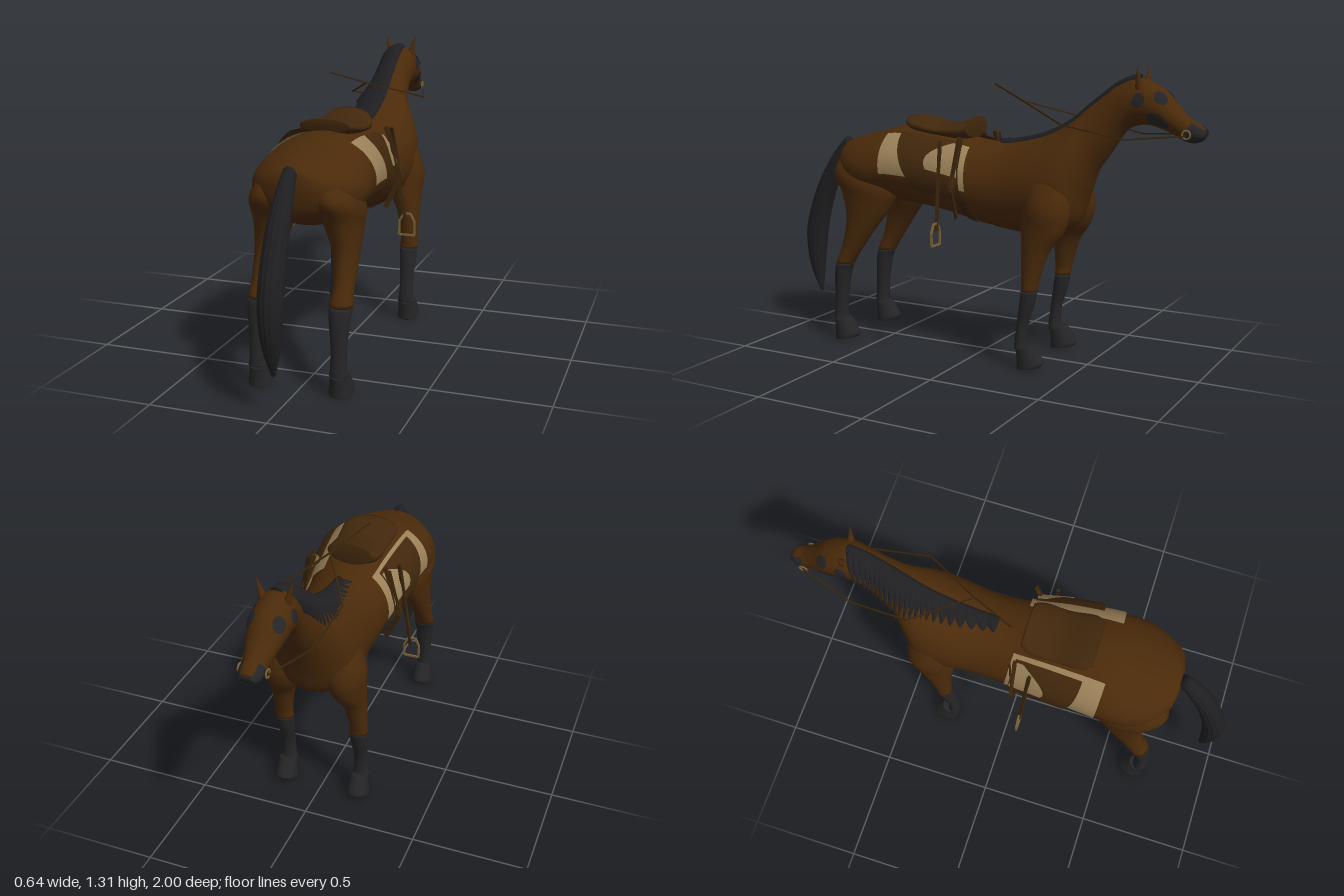
import * as THREE from 'three';
import { mergeVertices } from 'three/addons/utils/BufferGeometryUtils.js';

const mat = (name, color) => new THREE.MeshStandardMaterial({ name, color, side: THREE.DoubleSide });
const coat = mat('brown coat', 0x4a2a0a);
const hair = mat('black hair', 0x1f1f21);
const dark = mat('dark points', 0x252527);
const leather = mat('saddle leather', 0x41270c);
const strapMat = mat('strap leather', 0x38240b);
const blanketMat = mat('tan blanket', 0x9a8058);
const metal = mat('brass', 0x7a6238);

// Each ring: [z, y] of one edge, [z, y] of the opposite edge, half width, centre x
const BODY = [
  [.735, .88, .735, .84, .03], [.72, .92, .71, .74, .12], [.66, .945, .62, .68, .2], [.55, .975, .52, .665, .24],
  [.40, 1.01, .38, .66, .235], [.2, 1.0, .19, .635, .215], [.02, .965, -.02, .59, .19], [-.12, .958, -.2, .565, .183],
  [-.26, .986, -.34, .57, .195], [-.36, 1.026, -.44, .62, .185], [-.425, 1.066, -.485, .74, .15], [-.49, 1.122, -.53, .85, .105],
  [-.56, 1.177, -.58, .92, .085], [-.62, 1.222, -.62, .98, .076], [-.695, 1.252, -.66, 1.035, .077], [-.76, 1.241, -.715, 1.06, .08],
  [-.83, 1.20, -.775, 1.06, .078], [-.89, 1.135, -.85, 1.035, .06], [-.94, 1.09, -.90, 1.01, .048],
  [-.98, 1.068, -.95, 1.0, .045], [-1, 1.045, -.985, 1.01, .03]];
const HIND = [
  [.46, .87, .66, .90, .05, .12], [.385, .74, .722, .80, .097, .134], [.42, .64, .67, .70, .076, .15], [.5, .53, .64, .58, .052, .168],
  [.57, .43, .66, .46, .043, .175], [.61, .37, .695, .37, .048, .175], [.63, .32, .705, .31, .044, .175],
  [.645, .22, .71, .2, .034, .175], [.65, .13, .715, .12, .034, .175], [.645, .09, .715, .09, .04, .175]];
const FORE = [
  [-.40, .90, -.30, .92, .03, .12], [-.46, .72, -.26, .74, .088, .135], [-.445, .61, -.25, .62, .075, .145], [-.385, .52, -.26, .52, .052, .165],
  [-.345, .4, -.265, .4, .04, .175], [-.335, .35, -.265, .35, .042, .175], [-.32, .28, -.255, .28, .038, .175],
  [-.295, .2, -.245, .2, .032, .175], [-.29, .13, -.235, .12, .034, .175], [-.295, .09, -.235, .09, .04, .175]];
const HOOF = [
  [.635, .115, .715, .085, .038, .175], [.60, .06, .71, .04, .046, .175], [.588, .035, .71, .01, .05, .175], [.595, .02, .71, 0, .05, .175]];
const TAIL = [
  [.712, .885, .752, .942, .026], [.77, .81, .83, .85, .038], [.84, .66, .92, .70, .047], [.885, .5, .99, .5, .05],
  [.905, .36, .992, .36, .045], [.915, .25, .965, .25, .03], [.922, .16, .928, .16, .008]];
const SEAT = [
  [.36, 1.06, .35, 1.0, .105], [.31, 1.055, .31, .985, .126], [.2, 1.03, .2, .97, .12],
  [.1, 1.045, .1, .96, .122], [.05, 1.065, .05, .97, .1]];

// Catmull-Rom blend of the ring numbers
function ringAt(rings, u) {
  const n = rings.length - 1, i = Math.min(Math.max(Math.floor(u), 0), n - 1), t = u - i;
  const [a, b, c, d] = [-1, 0, 1, 2].map(k => rings[Math.min(Math.max(i + k, 0), n)]);
  return b.map((q, k) => .5 * (2 * q + (c[k] - a[k]) * t + (2 * a[k] - 5 * q + 4 * c[k] - d[k]) * t * t
    + (3 * q - a[k] - 3 * c[k] + d[k]) * t * t * t));
}
// Point on a lofted skin, scaled about the ring centre and pushed out by off
function skin(rings, u, th, off = 0, scale = 1) {
  const [z1, y1, z2, y2, w, x = 0] = ringAt(rings, u), c = Math.cos(th) * scale / 2;
  const r = new THREE.Vector3(w * scale * Math.sin(th), (y1 - y2) * c, (z1 - z2) * c);
  if (off) r.setLength(r.length() + off);
  return r.add(new THREE.Vector3(x, (y1 + y2) / 2, (z1 + z2) / 2));
}
// Grid surface from a rule f(s, t)
function grid(f, ns, nt) {
  const pos = [], idx = [];
  for (let i = 0; i <= ns; i++) for (let j = 0; j <= nt; j++) pos.push(...f(i / ns, j / nt, i).toArray());
  for (let i = 0; i < ns; i++) for (let j = 0; j < nt; j++) {
    const a = i * (nt + 1) + j, b = a + nt + 1;
    idx.push(a, a + 1, b, a + 1, b + 1, b);
  }
  let g = new THREE.BufferGeometry();
  g.setAttribute('position', new THREE.Float32BufferAttribute(pos, 3));
  g.setIndex(idx);
  g = mergeVertices(g, 1e-5);
  g.computeVertexNormals();
  return g;
}
// Closed, capped loft between two ring positions
function loft(rings, u0 = 0, u1 = rings.length - 1, sides = 28, ripple = 0) {
  const n = Math.ceil((u1 - u0) * 5);
  return grid((s, t, i) => {
    const k = Math.min(Math.max(i - 1, 0), n), th = t * Math.PI * 2;
    return skin(rings, u0 + (u1 - u0) * k / n, th, 0, i === 0 || i === n + 2 ? 0 : 1 + ripple * Math.cos(th * 14));
  }, n + 2, sides);
}
// Thin plates lying on the body
const plate = (u0, u1, t0, t1, off) => grid((s, t) => skin(BODY, u0 + (u1 - u0) * s, t0 + (t1 - t0) * t, off), 12, 20);
const spot = (u, th, ru, rt) => grid((s, t) =>
  skin(BODY, u + ru * s * Math.cos(t * Math.PI * 2), th + rt * s * Math.sin(t * Math.PI * 2), .004), 4, 20);

export function createModel() {
  const root = new THREE.Group();
  const add = (name, geo, m) => {
    const mesh = new THREE.Mesh(geo, m);
    mesh.name = name;
    root.add(mesh);
    return mesh;
  };
  // Straight strap or rod between two points
  const bar = (name, p, q, w, d, m) => {
    const a = new THREE.Vector3(...p), b = new THREE.Vector3(...q);
    const mesh = add(name, new THREE.BoxGeometry(w, d, a.distanceTo(b)), m);
    mesh.position.copy(a).add(b).multiplyScalar(.5);
    mesh.lookAt(b);
  };
  const path = (name, pts, r, m) => pts.slice(1).forEach((p, i) => bar(name, pts[i], p, r, r, m));

  add('body', loft(BODY, 0, 19.6, 40), coat);
  add('noseTip', loft(BODY, 19.6, 20, 40), dark);
  add('muzzle', plate(18.1, 20, .6, Math.PI * 2 - .6, .003), dark);
  add('tail', loft(TAIL, 0, 6, 56, .04), hair);

  // Mane: a crest ridge with locks falling to one side
  const crest = [];
  for (let u = 6.7; u <= 14.4; u += .4) {
    const p = skin(BODY, u, 0, .017), q = skin(BODY, u, 0, -.03);
    crest.push([p.z, p.y, q.z, q.y, .023]);
  }
  add('maneCrest', loft(crest, 0, crest.length - 1, 12), hair);
  for (let i = 0; i < 23; i++) {
    const u = 7 + i * .32, len = u < 9.5 ? .3 + (u - 7) * .12 : Math.min(1.5, .6 + (u - 9.5) * .45);
    add('maneLock', grid((s, t) => skin(BODY, u + (t - .5) * .5 * (1 - s * s * .9) - s * .25, -s * len,
      .009 + .004 * s + .008 * Math.sin(Math.PI * t)), 8, 6), hair);
  }

  for (const side of [1, -1]) {
    const flip = rings => rings.map(r => [...r.slice(0, 5), r[5] * side]);
    // Legs with dark stockings and hooves
    for (const [name, rings, shift] of [['hind', HIND, 0], ['front', FORE, -.955]]) {
      add(name + 'Leg', loft(flip(rings), 0, 5), coat);
      add(name + 'Stocking', loft(flip(rings), 5, 9, 20), dark);
      add(name + 'Hoof', loft(flip(HOOF.map(([a, b, c, ...r]) => [a + shift, b, c + shift, ...r])), 0, 3, 20), dark);
    }
    // Ears, eyes and cheek marks
    const ear = add('ear', new THREE.ConeGeometry(.02, .105, 10), coat);
    ear.position.set(side * .06, 1.256, -.725);
    ear.rotation.z = -side * .28;
    add('eye', spot(16, side * .82, .38, .36), dark);
    add('cheekMark', spot(14.85, side * 1.4, .42, .32), dark);
    add('jawMark', spot(16.3, side * 2.05, .62, .38), dark);

    // Saddle blanket, stand-off flap and knee pad
    const flapOff = th => .034 - .013 * (th - .66);
    add('blanket', plate(3.82, 5.96, side * .6, side * 1.7, .008), blanketMat);
    add('saddleFlap', grid((s, t) => {
      const back = 4.33 + .45 * t * t, th = .66 + 1.34 * t;
      return skin(BODY, back + (5.86 - back) * s, side * th, flapOff(th));
    }, 12, 16), leather);
    add('kneePad', grid((s, t) => {
      const th = .72 + .7 * t;
      return skin(BODY, 5.84 - s * (.2 + .6 * Math.sin(t * 2)), side * th, flapOff(th) + .004);
    }, 10, 12), blanketMat);
    bar('flapRoll', [side * .165, .985, .045], [side * .238, .77, .05], .016, .016, leather);

    // Girth strap, stirrup leather and stirrup
    bar('girthStrap', [side * .185, .98, .03], [side * .232, .76, .05], .008, .022, strapMat);
    bar('girthStrap', [side * .232, .76, .05], [side * .17, .63, .06], .008, .022, strapMat);
    bar('stirrupLeather', [side * .205, .97, .12], [side * .275, .585, .1], .014, .014, strapMat);
    const iron = [[.265, .62], [.247, .585], [.247, .525], [.315, .525], [.315, .585], [.297, .62], [.265, .62]];
    path('stirrup', iron.map(([x, y]) => [side * x, y, .1]), .008, metal);

    // Bit ring and rein
    const ring = add('bitRing', new THREE.TorusGeometry(.017, .004, 6, 18), metal);
    ring.position.set(side * .056, 1.035, -.93);
    ring.rotation.y = Math.PI / 2;
    path('rein', [[side * .058, 1.03, -.93], [side * .13, 1.01, -.69], [side * .152, 1.06, -.43], [0, 1.14, -.18]], .006, strapMat);
  }
  bar('reinEnd', [0, 1.14, -.18], [-.1, 1.203, .01], .006, .006, strapMat);

  add('saddleSeat', loft(SEAT, 0, 4, 28), leather);
  add('girth', plate(5.72, 5.9, 1.95, Math.PI * 2 - 1.95, .006), strapMat);
  return root;
}
